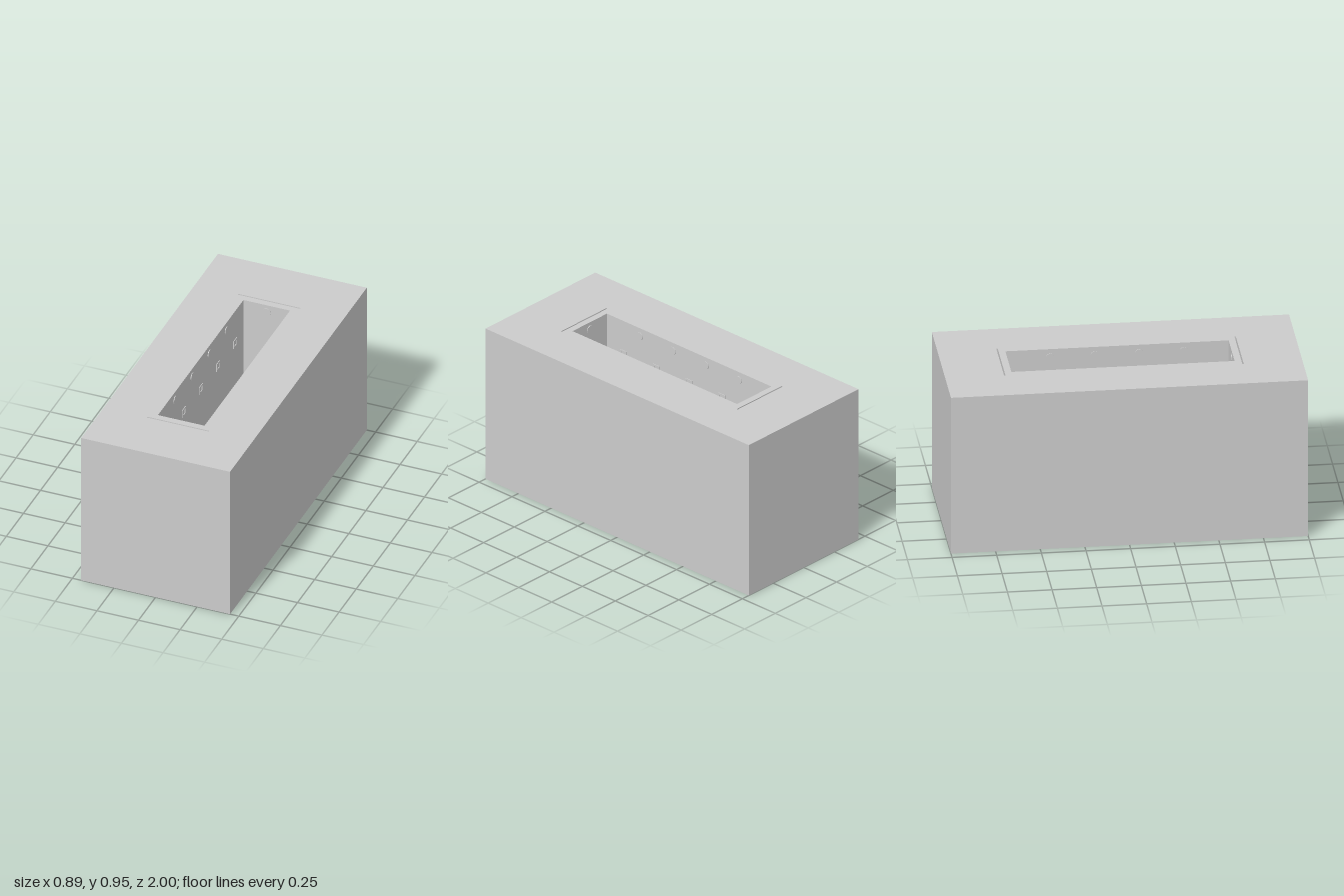
import * as THREE from 'three';

const W = 0.895, H = 0.95, L = 2;
const POCKET = { w: 0.28, l: 1.25, depth: 0.5 };

function rect(target, w, h, cx = 0, cy = 0) {
  target.moveTo(cx - w / 2, cy - h / 2);
  target.lineTo(cx + w / 2, cy - h / 2);
  target.lineTo(cx + w / 2, cy + h / 2);
  target.lineTo(cx - w / 2, cy + h / 2);
  target.closePath();
  return target;
}

export function createModel() {
  const group = new THREE.Group();
  const material = new THREE.MeshStandardMaterial({ color: 0xcccccc, flatShading: true });

  function add(geometry, name, parent = group) {
    const mesh = new THREE.Mesh(geometry, material);
    mesh.name = name;
    parent.add(mesh);
    return mesh;
  }

  // Solid lower half, whose top is the floor of the pocket
  const baseHeight = H - POCKET.depth;
  add(new THREE.BoxGeometry(W, baseHeight, L), 'base').position.y = baseHeight / 2;

  // Upper half with the long pocket and a narrow slot beyond each end
  const outline = rect(new THREE.Shape(), W, L);
  outline.holes.push(rect(new THREE.Path(), POCKET.w, POCKET.l));
  for (const s of [-1, 1]) outline.holes.push(rect(new THREE.Path(), 0.37, 0.008, 0, s * 0.667));
  const upper = new THREE.ExtrudeGeometry(outline, { depth: POCKET.depth, bevelEnabled: false });
  upper.rotateX(-Math.PI / 2);
  add(upper, 'pocketBlock').position.y = baseHeight;

  // Fittings are modelled facing +z, with their back on the wall
  const stud = new THREE.CylinderGeometry(0.024, 0.024, 0.008, 12).rotateX(Math.PI / 2);
  const frameShape = rect(new THREE.Shape(), 0.05, 0.05);
  frameShape.holes.push(rect(new THREE.Path(), 0.03, 0.03));
  const frame = new THREE.ExtrudeGeometry(frameShape, { depth: 0.004, bevelEnabled: false });

  // Side walls: round studs along the rim, staggered square frames lower down
  for (const side of [-1, 1]) {
    const wall = new THREE.Group();
    wall.name = side > 0 ? 'leftWallFittings' : 'rightWallFittings';
    wall.position.x = side * POCKET.w / 2;
    wall.rotation.y = -side * Math.PI / 2;
    for (let i = 0; i < 4; i++) {
      add(stud, 'rimStud', wall).position.set((i - 1.5) * 0.25, H - 0.05, 0);
    }
    for (let i = 0; i < 5; i++) {
      add(frame, 'squareFrame', wall).position.set((i - 2) * 0.25, H - 0.21, 0);
    }
    group.add(wall);
  }

  // One stud in the middle of each end wall
  for (const end of [-1, 1]) {
    add(stud, 'endStud').position.set(0, H - 0.045, end * POCKET.l / 2);
  }

  return group;
}
